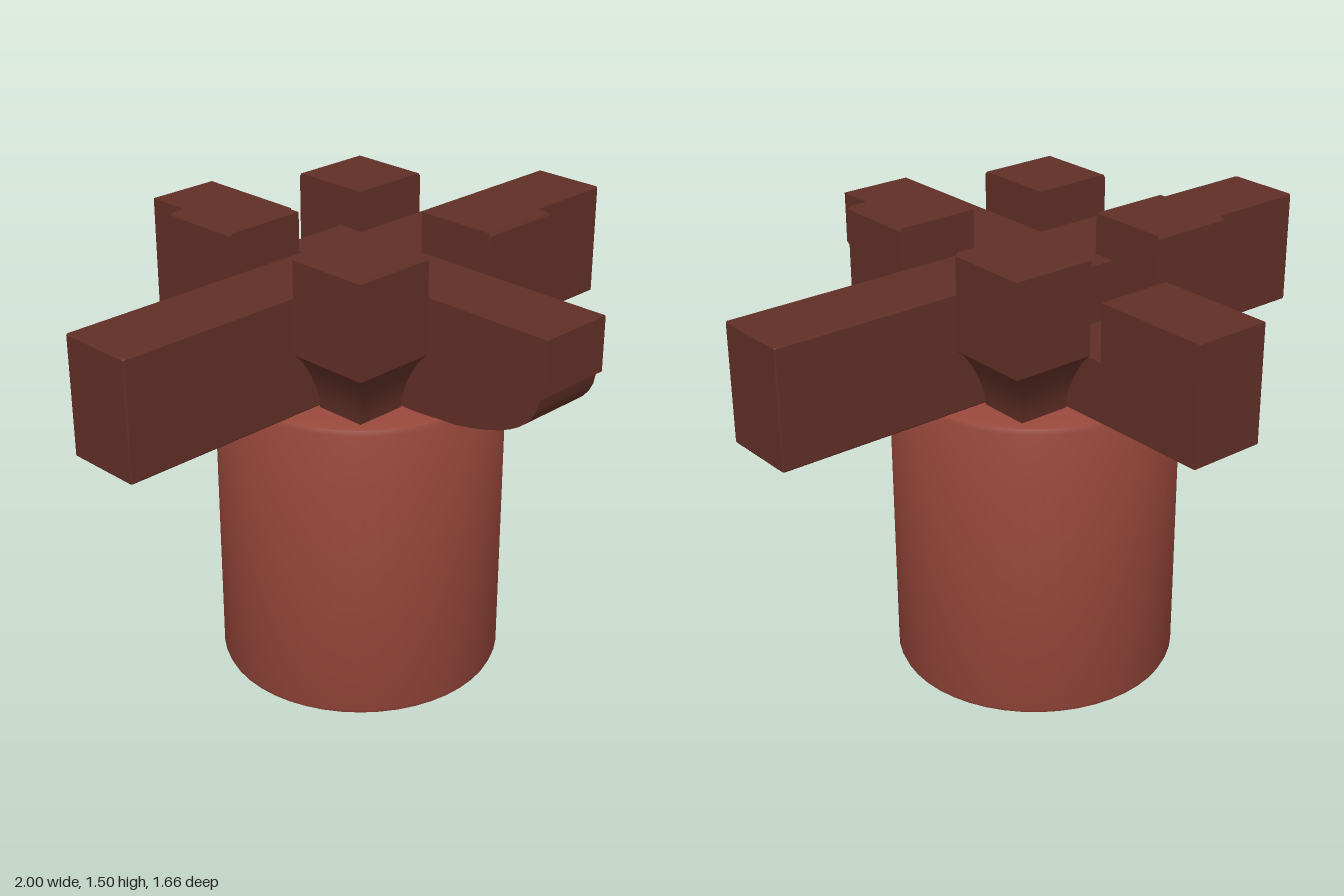
import * as THREE from 'three';
import { toCreasedNormals } from 'three/addons/utils/BufferGeometryUtils.js';
import { RoundedBoxGeometry } from 'three/addons/geometries/RoundedBoxGeometry.js';

const columnRed = new THREE.MeshStandardMaterial({ color: 0x96463a });
columnRed.name = 'columnRed';
const darkWood = new THREE.MeshStandardMaterial({ color: 0x602f26 });
darkWood.name = 'darkWood';

// Rings of the bearing block: [height, half width]; the foot flares up to a square head
const blockRings = [
  [1.0, 0.298], [1.03, 0.302], [1.06, 0.31], [1.09, 0.322], [1.12, 0.337],
  [1.15, 0.355], [1.175, 0.374], [1.2, 0.4], [1.49, 0.4], [1.5, 0.393],
];

// One corner of the bearing block, left standing between the crossing slots
function cornerBlock(sx, sz) {
  const inner = 0.13;
  const steps = blockRings.length - 1;
  const geo = new THREE.BoxGeometry(1, 1, 1, 1, steps, 1);
  const p = geo.attributes.position;
  for (let i = 0; i < p.count; i++) {
    const [y, outer] = blockRings[Math.round((p.getY(i) + 0.5) * steps)];
    const x = p.getX(i) * sx > 0 ? outer : inner;
    const z = p.getZ(i) * sz > 0 ? outer : inner;
    p.setXYZ(i, sx * x, y, sz * z);
  }
  return toCreasedNormals(geo, 0.5);
}

export function createModel() {
  const group = new THREE.Group();
  const add = (name, geo, mat) => {
    const mesh = new THREE.Mesh(geo, mat);
    mesh.name = name;
    group.add(mesh);
    return mesh;
  };

  // Round column with softened rims
  const profile = [[0, 0], [0.435, 0], [0.449, 0.006], [0.455, 0.02],
    [0.455, 0.98], [0.449, 0.994], [0.435, 1], [0, 1]];
  const column = new THREE.LatheGeometry(profile.map(([r, y]) => new THREE.Vector2(r, y)), 48);
  add('column', toCreasedNormals(column, 0.6), columnRed);

  // Straight arm running left to right
  const sideArm = add('crossArm', new RoundedBoxGeometry(2, 0.372, 0.25, 2, 0.006), darkWood);
  sideArm.position.y = 1.188;

  // Front-to-back arm: curved underside at the front, notch cut near the back
  const outline = new THREE.Shape();
  outline.moveTo(-0.83, 1.002);
  outline.lineTo(0.35, 1.002);
  outline.lineTo(0.52, 1.015);
  outline.bezierCurveTo(0.66, 1.04, 0.8, 1.08, 0.81, 1.19);
  outline.lineTo(0.83, 1.205);
  outline.lineTo(0.83, 1.374);
  outline.lineTo(-0.21, 1.374);
  outline.lineTo(-0.21, 1.19);
  outline.lineTo(-0.44, 1.19);
  outline.lineTo(-0.44, 1.374);
  outline.lineTo(-0.83, 1.374);
  outline.closePath();
  const arm = new THREE.ExtrudeGeometry(outline, { depth: 0.25, bevelEnabled: false, curveSegments: 10 });
  arm.translate(0, 0, -0.125);
  arm.rotateY(-Math.PI / 2);
  add('frontToBackArm', toCreasedNormals(arm, 0.5), darkWood);

  // Four corners of the bearing block
  for (const sx of [-1, 1]) {
    for (const sz of [-1, 1]) {
      add(`${sz > 0 ? 'front' : 'back'}${sx > 0 ? 'Left' : 'Right'}BlockCorner`, cornerBlock(sx, sz), darkWood);
    }
  }
  return group;
}
